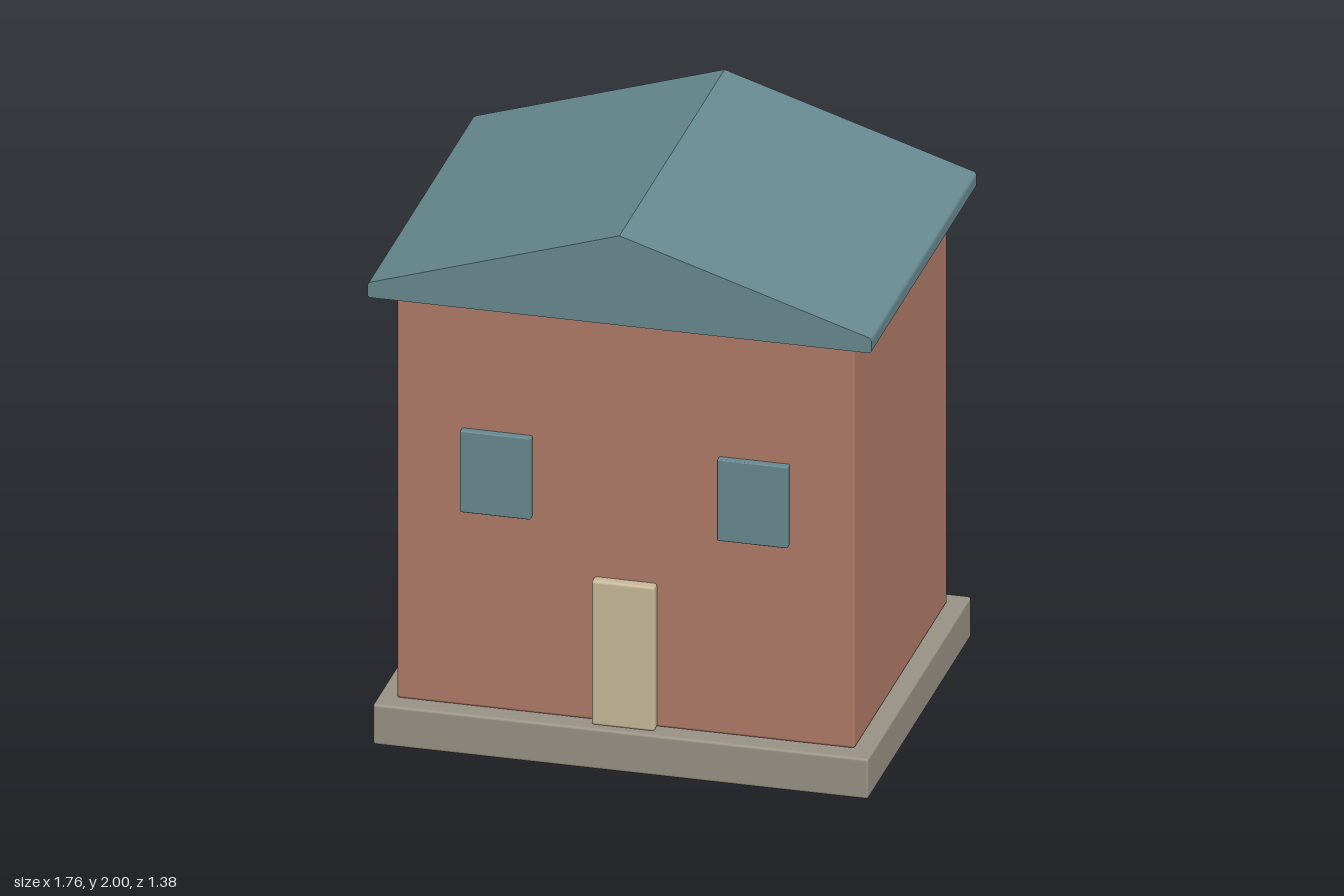
import * as THREE from 'three';
import { RoundedBoxGeometry } from 'three/addons/geometries/RoundedBoxGeometry.js';

const material = (name, color) => {
  const m = new THREE.MeshStandardMaterial({ color });
  m.name = name;
  return m;
};

export function createModel() {
  const model = new THREE.Group();
  model.name = 'house';

  const brick = material('brick', 0xb17c68);
  const slate = material('slate blue', 0x688a91);
  const stone = material('stone', 0x999385);
  const cream = material('cream', 0xc9ba9b);

  const add = (name, geometry, mat, x = 0, y = 0, z = 0) => {
    const mesh = new THREE.Mesh(geometry, mat);
    mesh.name = name;
    mesh.position.set(x, y, z);
    model.add(mesh);
  };

  // Softly rounded box given by its extents
  const block = (name, mat, [x0, x1], [y0, y1], [z0, z1], radius) =>
    add(name, new RoundedBoxGeometry(x1 - x0, y1 - y0, z1 - z0, 2, radius), mat,
      (x0 + x1) / 2, (y0 + y1) / 2, (z0 + z1) / 2);

  block('foundation', stone, [-0.865, 0.865], [0, 0.15], [-0.68, 0.68], 0.01);
  block('walls', brick, [-0.8, 0.8], [0.15, 1.67], [-0.61, 0.61], 0.01);
  block('door', cream, [-0.11, 0.11], [0.148, 0.685], [0.605, 0.648], 0.01);

  // Upper windows, mirrored
  for (const [side, name] of [[1, 'leftWindow'], [-1, 'rightWindow']]) {
    const x = side * 0.449;
    block(name, slate, [x - 0.123, x + 0.123], [0.88, 1.182], [0.6, 0.638], 0.004);
  }

  // Gable roof with blunted eaves and a sharp ridge
  const gable = new THREE.Shape();
  gable.moveTo(-0.87, 1.667);
  gable.lineTo(0.87, 1.667);
  gable.quadraticCurveTo(0.88, 1.667, 0.88, 1.677);
  gable.lineTo(0.88, 1.71);
  gable.quadraticCurveTo(0.88, 1.721, 0.868, 1.725);
  gable.lineTo(0, 2);
  gable.lineTo(-0.868, 1.725);
  gable.quadraticCurveTo(-0.88, 1.721, -0.88, 1.71);
  gable.lineTo(-0.88, 1.677);
  gable.quadraticCurveTo(-0.88, 1.667, -0.87, 1.667);
  const roof = new THREE.ExtrudeGeometry(gable, { depth: 1.384, bevelEnabled: false, curveSegments: 4 });
  add('roof', roof, slate, 0, 0, -0.692);

  return model;
}
